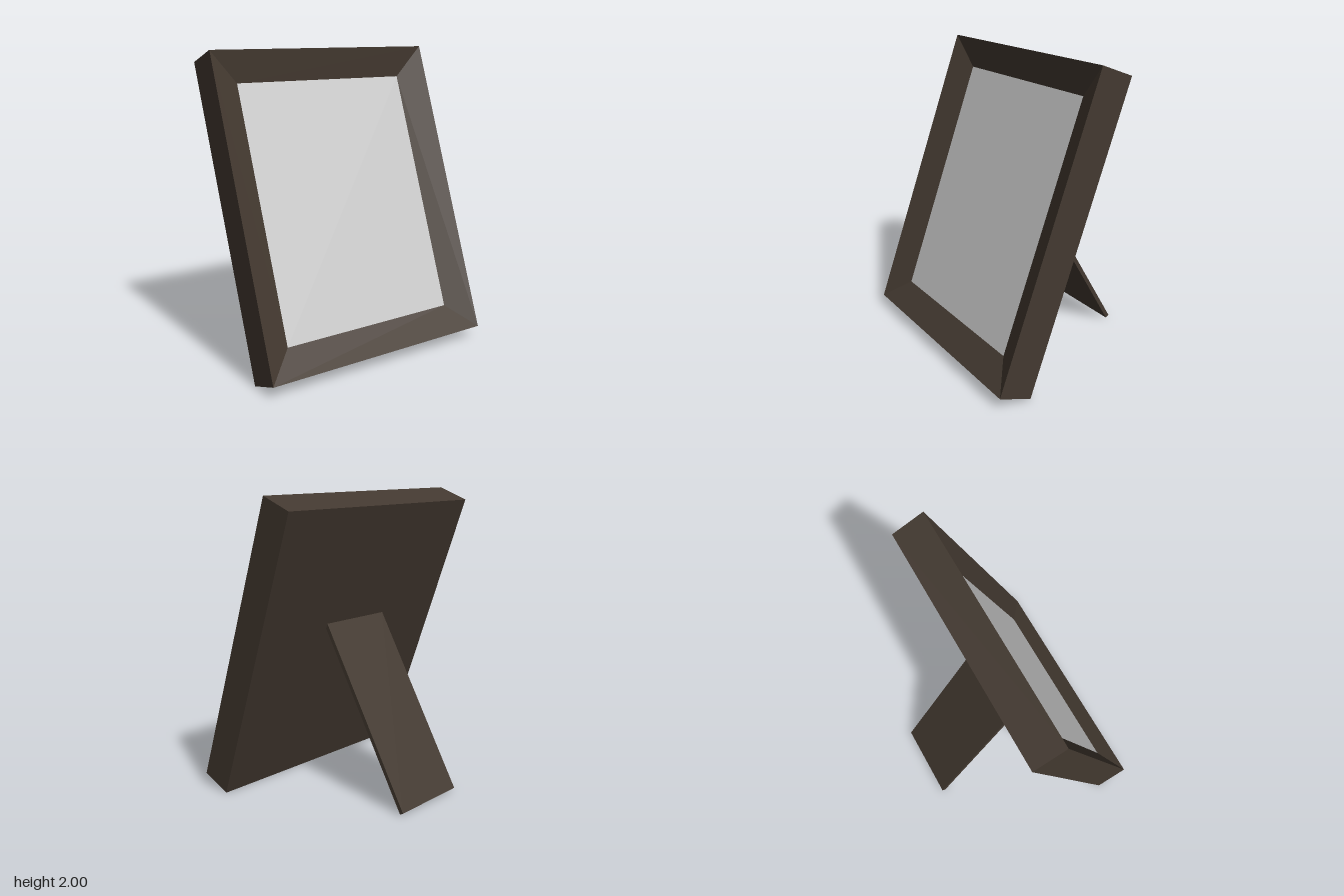
import * as THREE from 'three';

const WIDTH = 1.67, HEIGHT = 2.043, DEPTH = 0.234;
const BORDER = 0.191, RECESS = 0.087;
const TILT = THREE.MathUtils.degToRad(20);

// Flat-sided skin through four-cornered rings, each given as [half width, half height, z]
function ringSkin(rings) {
  const corners = [[-1, -1], [1, -1], [1, 1], [-1, 1]];
  const point = ([w, h, z], i) => [corners[i % 4][0] * w, corners[i % 4][1] * h, z];
  const positions = [];
  for (let r = 0; r < rings.length - 1; r++) {
    for (let i = 0; i < 4; i++) {
      const a = point(rings[r], i), b = point(rings[r], i + 1);
      const c = point(rings[r + 1], i + 1), d = point(rings[r + 1], i);
      if (rings[r][0] > 0) positions.push(...a, ...b, ...c);
      positions.push(...a, ...c, ...d);
    }
  }
  const geometry = new THREE.BufferGeometry();
  geometry.setAttribute('position', new THREE.Float32BufferAttribute(positions, 3));
  geometry.computeVertexNormals();
  return geometry;
}

export function createModel() {
  const wood = new THREE.MeshStandardMaterial({ name: 'darkWood', color: 0x433930 });
  const paper = new THREE.MeshStandardMaterial({ name: 'greyPaper', color: 0xcccccc });
  const model = new THREE.Group();
  model.name = 'pictureFrame';

  // Leaning panel: pivots on its lower front edge
  const panel = new THREE.Group();
  panel.name = 'leaningPanel';
  panel.position.set(0, 0.08, 0.655);
  panel.rotation.x = -TILT;
  model.add(panel);

  // Closed back, square sides and mitred border sloping in to the picture
  const w = WIDTH / 2, h = HEIGHT / 2;
  const frame = new THREE.Mesh(ringSkin([
    [0, 0, -DEPTH],
    [w, h, -DEPTH],
    [w, h, 0],
    [w - BORDER, h - BORDER, -RECESS],
  ]), wood);
  frame.name = 'frame';
  frame.position.y = h;
  panel.add(frame);

  // Picture set at the bottom of the bevel
  const picture = new THREE.Mesh(
    new THREE.PlaneGeometry(WIDTH - 2 * BORDER, HEIGHT - 2 * BORDER), paper);
  picture.name = 'picture';
  picture.position.set(0, h, -RECESS);
  panel.add(picture);

  // Back stand: slanted board, its side profile in (-z, y) extruded across x
  const profile = new THREE.Shape([
    [0.631, 0], [0.655, 0.015], [-0.02, 1.15], [-0.044, 1.136],
  ].map(([x, y]) => new THREE.Vector2(x, y)));
  const standWidth = 0.54;
  const standGeometry = new THREE.ExtrudeGeometry(profile, { depth: standWidth, bevelEnabled: false });
  standGeometry.translate(0, 0, -standWidth / 2).rotateY(Math.PI / 2);
  const stand = new THREE.Mesh(standGeometry, wood);
  stand.name = 'backStand';
  model.add(stand);

  return model;
}
